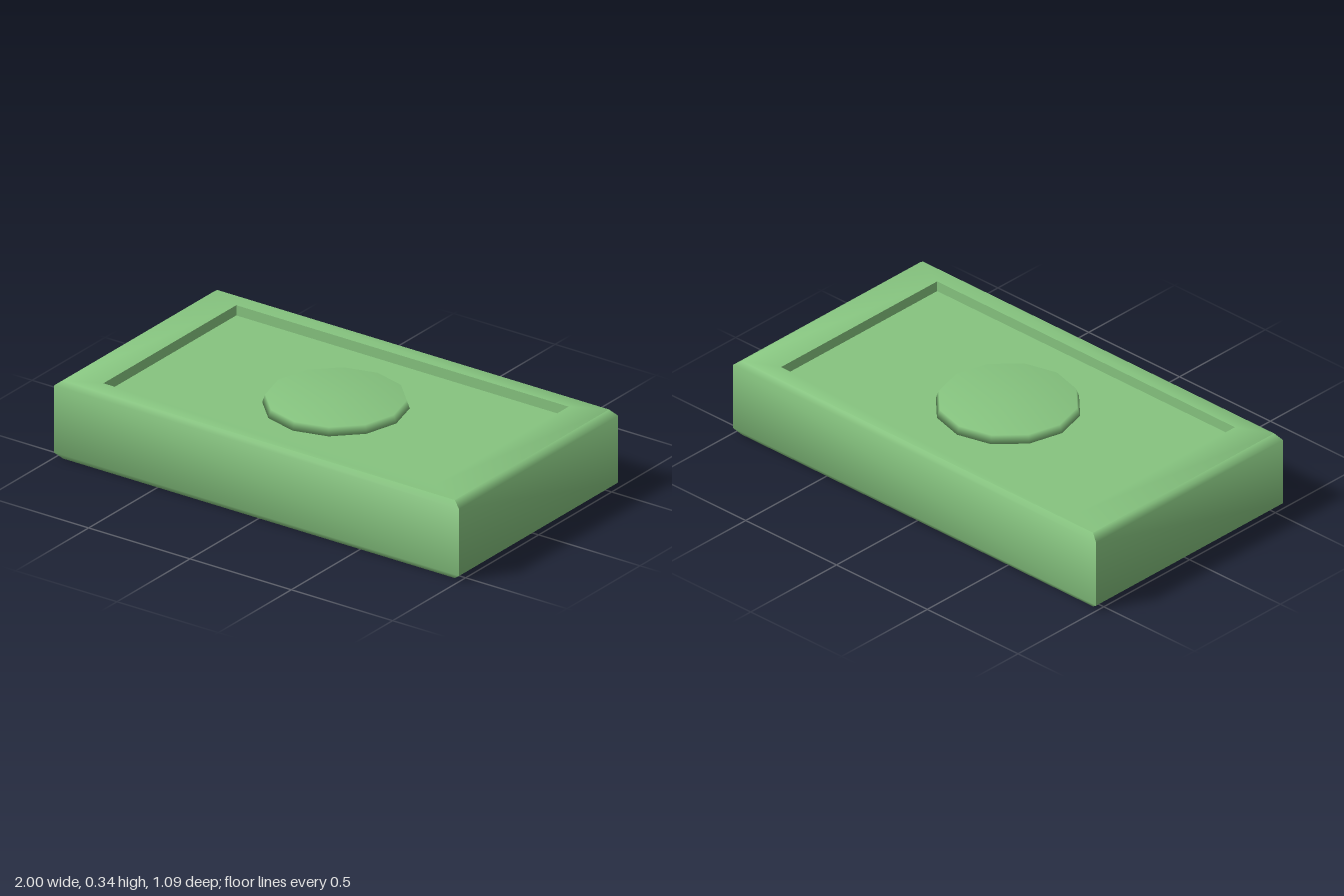
import * as THREE from 'three';
import { mergeVertices, toCreasedNormals } from 'three/addons/utils/BufferGeometryUtils.js';

const H = 0.345; // overall height
const DEPTH = 0.045; // depth of the recessed panels

// Closed shell from rectangular cross-sections [halfX, halfZ, y], listed from the top panel outward and down
function rectLoft(sections) {
  const corners = [[1, 1], [1, -1], [-1, -1], [-1, 1]];
  const positions = [];
  const index = [];
  for (const [hx, hz, y] of sections) {
    for (const [sx, sz] of corners) positions.push(sx * hx, y, sz * hz);
  }
  for (let i = 0; i < sections.length - 1; i++) {
    for (let k = 0; k < 4; k++) {
      const a = i * 4 + k, b = i * 4 + (k + 1) % 4;
      index.push(a, a + 4, b + 4, a, b + 4, b);
    }
  }
  const n = (sections.length - 1) * 4;
  index.push(0, 1, 2, 0, 2, 3, n, n + 2, n + 1, n, n + 3, n + 2);
  const geometry = new THREE.BufferGeometry();
  geometry.setAttribute('position', new THREE.Float32BufferAttribute(positions, 3));
  geometry.setIndex(index);
  return toCreasedNormals(geometry, Math.PI / 3);
}

export function createModel() {
  const model = new THREE.Group();
  model.name = 'banknoteBundle';
  const green = new THREE.MeshStandardMaterial({ color: 0x86c47f });

  // Bevelled block with a recessed panel above and below
  const upper = [
    [0.82, 0.455, H - DEPTH],
    [0.82, 0.455, H],
    [0.967, 0.528, H],
    [1, 0.545, H - 0.025],
  ];
  const lower = upper.map(([x, z, y]) => [x, z, H - y]).reverse();
  const block = new THREE.Mesh(rectLoft([...upper, ...lower]), green);
  block.name = 'noteBlock';
  model.add(block);

  // Twelve-sided medallion on each panel, smooth across its rim
  const height = 0.035;
  let disc = new THREE.CylinderGeometry(0.285, 0.297, height, 12);
  disc.deleteAttribute('normal');
  disc.deleteAttribute('uv');
  disc = mergeVertices(disc);
  disc.computeVertexNormals();
  for (const side of [1, -1]) {
    const medallion = new THREE.Mesh(disc, green);
    medallion.name = side > 0 ? 'topMedallion' : 'bottomMedallion';
    medallion.position.y = H / 2 + side * (H / 2 - DEPTH + height / 2);
    if (side < 0) medallion.rotation.x = Math.PI;
    model.add(medallion);
  }
  return model;
}
